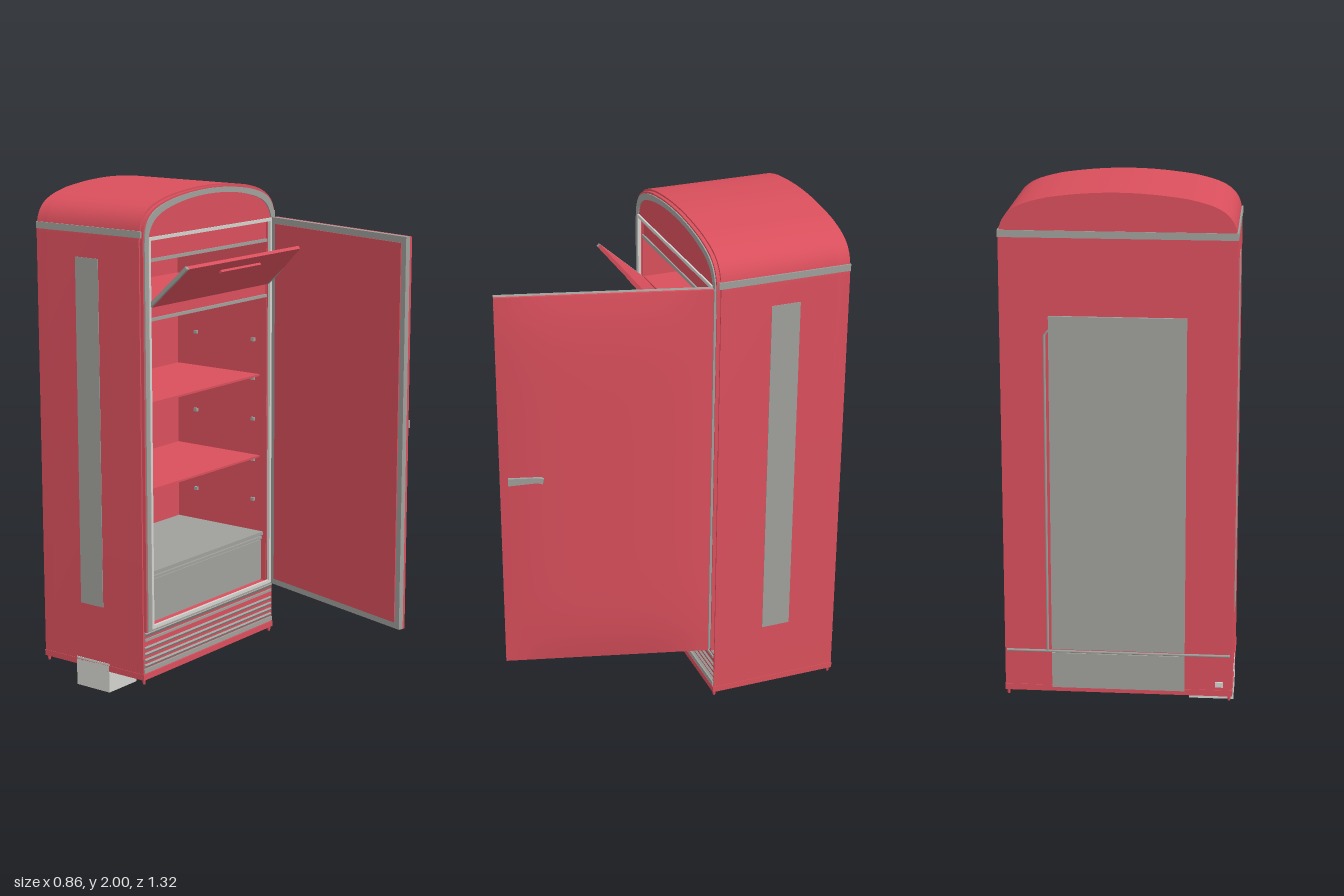
import * as THREE from 'three';
import { toCreasedNormals } from 'three/addons/utils/BufferGeometryUtils.js';

const mat = (name, color) => {
  const m = new THREE.MeshStandardMaterial({ color });
  m.name = name;
  return m;
};

export function createModel() {
  const red = mat('red enamel', 0xd94f5c);
  const grey = mat('metal grey', 0x9f9f9b);
  const pale = mat('pale grey', 0xd2d2ce);
  const model = new THREE.Group();
  model.name = 'refrigerator';

  const add = (parent, name, geo, material, x = 0, y = 0, z = 0) => {
    const m = new THREE.Mesh(geo, material);
    m.name = name;
    m.position.set(x, y, z);
    parent.add(m);
    return m;
  };
  // Box given by its min and max on each axis
  const box = (name, material, x0, x1, y0, y1, z0, z1, parent = model) =>
    add(parent, name, new THREE.BoxGeometry(x1 - x0, y1 - y0, z1 - z0), material,
      (x0 + x1) / 2, (y0 + y1) / 2, (z0 + z1) / 2);

  // Cabinet silhouette with a domed top, optionally inset
  const outline = (inset, y0, Type = THREE.Shape) => {
    const s = new Type(), w = 0.428 - inset, t = 2 - inset;
    s.moveTo(-w, y0);
    s.lineTo(w, y0);
    s.lineTo(w, t - 0.18);
    s.bezierCurveTo(w, t - 0.07, w - 0.058, t - 0.045, w - 0.178, t - 0.02);
    s.quadraticCurveTo(0.12, t, 0, t);
    s.quadraticCurveTo(-0.12, t, -w + 0.178, t - 0.02);
    s.bezierCurveTo(-w + 0.058, t - 0.045, -w, t - 0.07, -w, t - 0.18);
    s.closePath();
    return s;
  };
  const rect = (w, y0, y1, Type = THREE.Path) => {
    const s = new Type();
    s.moveTo(-w, y0);
    s.lineTo(w, y0);
    s.lineTo(w, y1);
    s.lineTo(-w, y1);
    s.closePath();
    return s;
  };
  const extrude = (shape, depth) => toCreasedNormals(
    new THREE.ExtrudeGeometry(shape, { depth, bevelEnabled: false, curveSegments: 10 }), 0.5);

  // Cabinet shell, closed at the back
  const shell = outline(0, 0.09);
  shell.holes.push(rect(0.386, 0.3, 1.825));
  add(model, 'cabinetShell', extrude(shell, 0.465), red, 0, 0, -0.6);
  add(model, 'cabinetBack', extrude(outline(0, 0.09), 0.05), red, 0, 0, -0.65);

  // Front surround: red lip, grey arch and pale gasket
  const lip = outline(0.006, 0.285);
  lip.holes.push(rect(0.39, 0.3, 1.83));
  add(model, 'frontLip', extrude(lip, 0.014), red, 0, 0, -0.135);
  const arch = outline(0.012, 0.288);
  arch.holes.push(outline(0.032, 0.3, THREE.Path));
  add(model, 'archTrim', extrude(arch, 0.006), grey, 0, 0, -0.122);
  const gasket = rect(0.394, 0.294, 1.835, THREE.Shape);
  gasket.holes.push(rect(0.382, 0.307, 1.822));
  add(model, 'openingGasket', extrude(gasket, 0.012), pale, 0, 0, -0.126);

  // Side and back bands, side panels
  for (const s of [-1, 1]) {
    add(model, 'sideBand', new THREE.BoxGeometry(0.008, 0.026, 0.524), grey, s * 0.426, 1.848, -0.389);
    add(model, 'sidePanel', new THREE.BoxGeometry(0.006, 1.39, 0.115), grey, s * 0.427, 1.045, -0.395);
  }
  box('backBand', grey, -0.427, 0.427, 1.835, 1.861, -0.653, -0.647);

  // Louvred base
  [[0.272, 0.022], [0.217, 0.012], [0.192, 0.012], [0.167, 0.012], [0.145, 0.012]].forEach(([y, h]) => {
    add(model, 'louvre', new THREE.BoxGeometry(0.84, h, 0.012), grey, 0, y, -0.136).rotation.x = 0.6;
  });
  box('baseTrimUpper', grey, -0.42, 0.42, 0.246, 0.256, -0.137, -0.129);
  box('baseTrimLower', grey, -0.424, 0.424, 0.116, 0.134, -0.137, -0.129);
  box('baseFlange', red, -0.43, 0.43, 0.088, 0.112, -0.652, -0.13);
  for (const x of [-0.418, 0.418]) for (const z of [-0.14, -0.64])
    add(model, 'foot', new THREE.CylinderGeometry(0.007, 0.005, 0.022, 10), red, x, 0.08, z);
  box('baseBlock', pale, -0.43, -0.26, 0, 0.12, -0.48, -0.31);

  // Freezer compartment
  box('freezerFloor', red, -0.386, 0.386, 1.522, 1.57, -0.6, -0.14);
  box('freezerFloorTrim', grey, -0.386, 0.386, 1.51, 1.522, -0.6, -0.132);
  box('freezerHeader', red, -0.386, 0.386, 1.75, 1.825, -0.16, -0.138);
  box('freezerHeaderTrim', grey, -0.386, 0.386, 1.737, 1.75, -0.16, -0.132);

  // Freezer flap, hinged along its lower edge
  const flap = new THREE.Group();
  flap.name = 'freezerFlap';
  flap.position.set(0, 1.572, -0.126);
  flap.rotation.x = 0.84;
  model.add(flap);
  box('flapPanel', red, -0.37, 0.37, 0, 0.243, -0.006, 0.008, flap);
  for (const s of [-1, 1])
    add(flap, 'flapEnd', new THREE.BoxGeometry(0.014, 0.243, 0.014), grey, s * 0.377, 0.1215, 0.001);
  box('flapHandle', red, -0.13, 0.125, 0.18, 0.192, 0.008, 0.018, flap);

  // Shelves, pegs and drawer
  for (const y of [0.835, 1.18]) box('shelf', red, -0.386, 0.386, y - 0.004, y + 0.004, -0.6, -0.17);
  for (const y of [0.655, 0.827, 1.0, 1.172, 1.335]) for (const s of [-1, 1]) for (const z of [-0.2, -0.5])
    add(model, 'shelfPeg', new THREE.BoxGeometry(0.012, 0.014, 0.016), grey, s * 0.381, y - 0.008, z);
  box('drawerFront', grey, -0.386, 0.386, 0.302, 0.475, -0.18, -0.16);
  box('drawerLid', grey, -0.386, 0.386, 0.497, 0.512, -0.6, -0.15);
  box('drawerRail', grey, -0.386, 0.386, 0.48, 0.49, -0.6, -0.155);

  // Open door; local x runs from the free edge to the hinge, local z points outward
  const door = new THREE.Group();
  door.name = 'door';
  door.position.set(0.19, 0, 0.655);
  door.rotation.y = 1.311;
  model.add(door);
  const L = 0.797, H = 1.546, midY = 1.064;
  box('doorFrame', grey, 0, L, midY - H / 2, midY + H / 2, 0, 0.02, door);
  box('doorLiner', red, 0.025, L - 0.025, midY - H / 2 + 0.025, midY + H / 2 - 0.025, -0.004, 0.002, door);
  // Outer skin bulges away from its edges
  const skin = new THREE.BoxGeometry(L, H, 0.01, 20, 24, 1);
  const p = skin.attributes.position;
  for (let i = 0; i < p.count; i++) {
    if (p.getZ(i) < 0) continue;
    const u = Math.abs(p.getX(i) / L * 2), v = Math.abs(p.getY(i) / H * 2);
    p.setZ(i, 0.005 + 0.026 * (1 - u ** 3) * (1 - v ** 7));
  }
  skin.computeVertexNormals();
  add(door, 'doorSkin', skin, red, L / 2, midY, 0.025);

  // Lever handle
  const lever = new THREE.Shape();
  lever.moveTo(0.03, -0.016);
  lever.lineTo(0.14, -0.008);
  lever.lineTo(0.16, -0.014);
  lever.lineTo(0.164, 0.008);
  lever.lineTo(0.14, 0.013);
  lever.lineTo(0.03, 0.014);
  lever.closePath();
  add(door, 'handleLever', extrude(lever, 0.01), grey, 0, 1.105, 0.057);
  box('handlePost', grey, 0.135, 0.16, 1.097, 1.113, 0.03, 0.058, door);

  // Hinge strip on the cabinet edge
  box('hingeStrip', grey, 0.398, 0.418, 0.295, 1.83, -0.122, -0.112);

  // Back panels, refrigerant pipes and socket
  box('backPanel', grey, -0.25, 0.25, 0.262, 1.55, -0.66, -0.648);
  box('backLowerPanel', grey, -0.25, 0.25, 0.105, 0.245, -0.656, -0.648);
  const pipe = (name, pts) => add(model, name, new THREE.TubeGeometry(
    new THREE.CatmullRomCurve3(pts.map(([x, y]) => new THREE.Vector3(x, y, -0.656)), false, 'catmullrom', 0.1),
    40, 0.005, 6), grey);
  pipe('verticalPipe', [[0.245, 1.5], [0.262, 1.495], [0.265, 1.47], [0.265, 0.9], [0.265, 0.255]]);
  pipe('horizontalPipe', [[0.42, 0.253], [0, 0.253], [-0.42, 0.253]]);
  box('backSocket', pale, -0.395, -0.365, 0.125, 0.145, -0.656, -0.648);

  return model;
}
